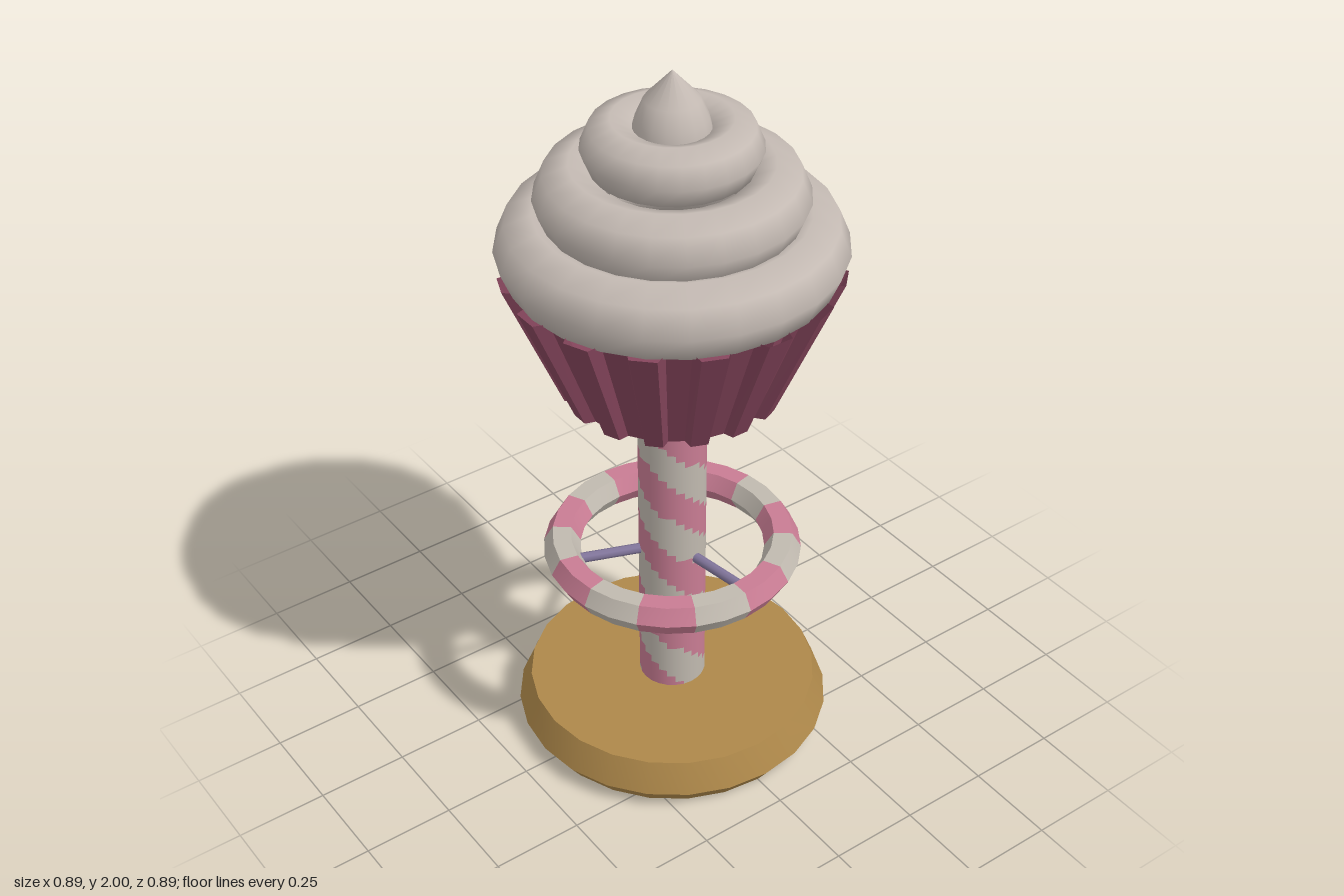
import * as THREE from 'three';
import { toCreasedNormals } from 'three/addons/utils/BufferGeometryUtils.js';

const flat = (name, color) => Object.assign(new THREE.MeshStandardMaterial({ color }), { name });

// Split a geometry's triangles into two material groups by a test on their centre
function paint(geo, test) {
  const pos = geo.attributes.position, idx = geo.index.array;
  const sets = [[], []];
  for (let i = 0; i < idx.length; i += 3) {
    const tri = [idx[i], idx[i + 1], idx[i + 2]];
    const c = new THREE.Vector3();
    tri.forEach(k => c.add(new THREE.Vector3().fromBufferAttribute(pos, k)));
    c.divideScalar(3);
    sets[test(Math.atan2(c.x, c.z), c.y) ? 0 : 1].push(...tri);
  }
  geo.setIndex([...sets[0], ...sets[1]]);
  geo.clearGroups();
  geo.addGroup(0, sets[0].length, 0);
  geo.addGroup(sets[0].length, sets[1].length, 1);
  return geo;
}

// Pleated cup: alternating ridges and grooves, with a closed bottom
function pleatedCup(pleats, y0, y1) {
  const ring = [];
  const step = (Math.PI * 2) / pleats;
  for (let i = 0; i < pleats; i++) {
    for (const [f, ridge] of [[-0.2, 1], [0.2, 1], [0.3, 0], [0.7, 0]]) {
      const a = (i + f) * step;
      const at = (r, y) => [Math.sin(a) * r, y, Math.cos(a) * r];
      ring.push({ low: at(ridge ? 0.288 : 0.262, y0), high: at(ridge ? 0.437 : 0.4, y1) });
    }
  }
  const v = [];
  ring.forEach((p, i) => {
    const q = ring[(i + 1) % ring.length];
    v.push(...p.low, ...q.low, ...q.high, ...p.low, ...q.high, ...p.high);
    v.push(0, y0, 0, ...q.low, ...p.low);
  });
  const geo = new THREE.BufferGeometry();
  geo.setAttribute('position', new THREE.Float32BufferAttribute(v, 3));
  geo.computeVertexNormals();
  return geo;
}

export function createModel() {
  const cream = flat('cream frosting', 0xc4bab3);
  const pale = flat('pale stripe', 0xc0b9af);
  const pink = flat('pink stripe', 0xc87c93);
  const plum = flat('plum wrapper', 0x87465d);
  plum.side = THREE.DoubleSide;
  const gold = flat('golden base', 0xae884a);
  const mauve = flat('mauve spokes', 0x82769c);

  const model = new THREE.Group();
  const add = (name, geo, mat, parent = model) => {
    const mesh = new THREE.Mesh(geo, mat);
    mesh.name = name;
    parent.add(mesh);
    return mesh;
  };
  const profile = pts => pts.map(p => new THREE.Vector2(...p));

  // Bevelled round base
  const baseGeo = new THREE.LatheGeometry(
    profile([[0, 0], [0.4, 0], [0.435, 0.05], [0.4, 0.135], [0, 0.135]]), 24);
  add('base', toCreasedNormals(baseGeo, 0.5), gold);

  // Candy-striped pole with two helical stripes
  const poleGeo = new THREE.CylinderGeometry(0.092, 0.092, 1.0, 24, 48, true);
  poleGeo.translate(0, 0.625, 0);
  const pitch = 0.44;
  add('pole', paint(poleGeo, (az, y) =>
    Math.cos(2 * (az + ((y - 0.4) / pitch) * Math.PI * 2)) > 0), [pink, pale]);

  // Foot ring with seven pink and seven pale bands
  const ringGeo = new THREE.TorusGeometry(0.3, 0.05, 6, 28);
  ringGeo.rotateX(-Math.PI / 2);
  ringGeo.translate(0, 0.577, 0);
  paint(ringGeo, az => Math.cos(7 * az) > 0);
  add('footRing', toCreasedNormals(ringGeo, 0.6), [pink, pale]);

  // Three spokes holding the ring
  const spokes = new THREE.Group();
  spokes.name = 'spokes';
  model.add(spokes);
  for (let i = 0; i < 3; i++) {
    const geo = new THREE.CylinderGeometry(0.014, 0.014, 0.2, 8);
    geo.rotateX(Math.PI / 2);
    geo.translate(0, 0.577, 0.18);
    add('spoke', geo, mauve, spokes).rotation.y = THREE.MathUtils.degToRad(99 + i * 120);
  }

  // Pleated wrapper
  add('wrapper', pleatedCup(16, 1.113, 1.468), plum);

  // Frosting: three stacked rolls and a pointed tip
  const frosting = new THREE.Group();
  frosting.name = 'frosting';
  model.add(frosting);
  for (const [R, r, y] of [[0.345, 0.098, 1.53], [0.253, 0.09, 1.668], [0.15, 0.075, 1.8]]) {
    const geo = new THREE.TorusGeometry(R, r, 8, 24);
    geo.rotateX(-Math.PI / 2);
    geo.translate(0, y, 0);
    add('frostingRoll', geo, cream, frosting);
  }
  add('frostingTip', new THREE.LatheGeometry(
    profile([[0.1, 1.8], [0.1, 1.84], [0.09, 1.878], [0.07, 1.925], [0, 2]]), 16), cream, frosting);

  return model;
}
